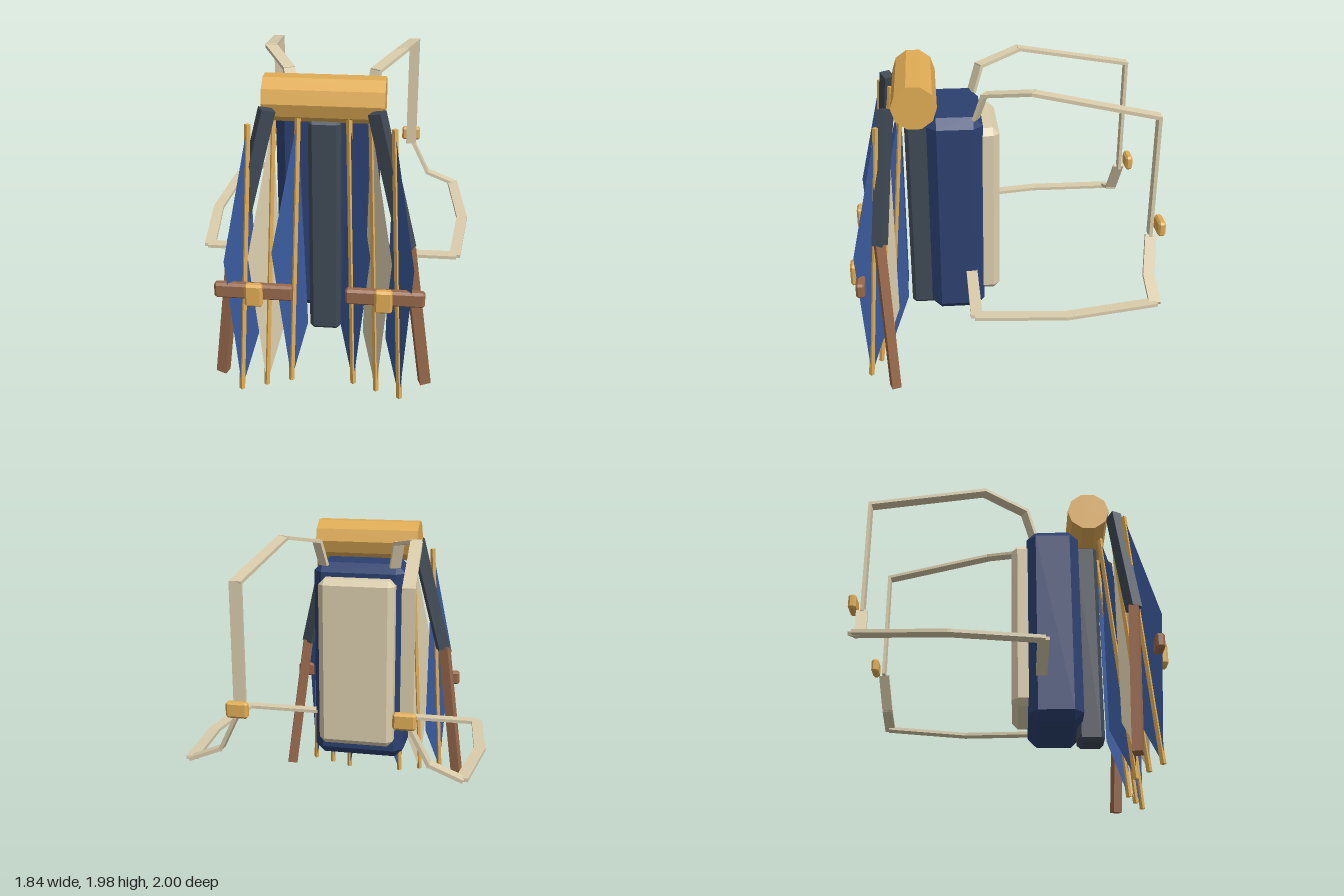
import * as THREE from 'three';
import { ConvexGeometry } from 'three/addons/geometries/ConvexGeometry.js';

const mat = (color, side = THREE.FrontSide) =>
  new THREE.MeshStandardMaterial({ color, side, flatShading: true });

const M = {
  navy: mat(0x2c4070),
  beige: mat(0xdacdac),
  slate: mat(0x3f4955),
  gold: mat(0xe0ac55),
  brown: mat(0x98694c),
  blueCloth: mat(0x3a5a9c, THREE.DoubleSide),
  beigeCloth: mat(0xdacdac, THREE.DoubleSide),
};

function add(parent, name, geometry, material) {
  const mesh = new THREE.Mesh(geometry, material);
  mesh.name = name;
  parent.add(mesh);
  return mesh;
}

// Box with every edge cut at 45 degrees, given by its size and centre
function chamferBox(parent, name, [w, h, d], c, [x, y, z], material) {
  const pts = [];
  for (const i of [-1, 1]) for (const j of [-1, 1]) for (const k of [-1, 1])
    for (let a = 0; a < 3; a++)
      pts.push(new THREE.Vector3(
        i * (w / 2 - (a === 0 ? 0 : c)),
        j * (h / 2 - (a === 1 ? 0 : c)),
        k * (d / 2 - (a === 2 ? 0 : c))));
  add(parent, name, new ConvexGeometry(pts), material).position.set(x, y, z);
}

// Straight bar from a to b; its width lies along the side direction
function bar(parent, name, a, b, w, t, side, material, extra = 0) {
  const dir = b.clone().sub(a);
  const len = dir.length() + extra;
  dir.normalize();
  const x = side.clone().addScaledVector(dir, -side.dot(dir)).normalize();
  const z = x.clone().cross(dir);
  const mesh = add(parent, name, new THREE.BoxGeometry(w, len, t), material);
  mesh.quaternion.setFromRotationMatrix(new THREE.Matrix4().makeBasis(x, dir, z));
  mesh.position.copy(a).add(b).multiplyScalar(0.5);
}

// Thin four-cornered cloth panel
function panel(parent, name, corners, material) {
  const g = new THREE.BufferGeometry().setFromPoints(corners);
  g.setIndex([0, 1, 2, 0, 2, 3]);
  g.computeVertexNormals();
  add(parent, name, g, material);
}

function buildWing(s) {
  const wing = new THREE.Group();
  wing.name = s > 0 ? 'leftWing' : 'rightWing';
  const P = (x, y, z) => new THREE.Vector3(s * x, y, z);

  // Folded arm
  bar(wing, 'upperArm', P(0.315, 1.83, 0.725), P(0.515, 1.01, 0.795), 0.085, 0.07, P(1, 0, 0.5), M.slate);
  bar(wing, 'lowerArm', P(0.525, 1.02, 0.795), P(0.655, 0.02, 0.745), 0.07, 0.06, P(1, 0, -0.3), M.brown);

  // Three ribs, each carrying a leaf-shaped panel
  for (let i = 0; i < 3; i++) {
    const top = P(0.15 + i * 0.135, 1.755, 0.64 + i * 0.07);
    const low = P(0.2 + i * 0.15, 0.005, 0.785 + i * 0.062);
    bar(wing, 'rib', top, low, 0.026, 0.026, P(1, 0, 1), M.gold);
    const outer = top.clone().lerp(low, 0.46).add(P(0.125 - i * 0.01, 0, 0.12));
    const inner = top.clone().lerp(low, 0.8).add(P(-0.085, 0, -0.11));
    panel(wing, 'wingPanel', [top, outer, low, inner], i === 1 ? M.beigeCloth : M.blueCloth);
  }

  // Crossbar and its clasp
  chamferBox(wing, 'crossbar', [0.475, 0.1, 0.056], 0.014, [s * 0.395, 0.745, 0.928], M.brown);
  chamferBox(wing, 'crossbarClasp', [0.108, 0.15, 0.05], 0.014, [s * 0.387, 0.745, 0.975], M.gold);
  return wing;
}

function buildStrap(s) {
  const strap = new THREE.Group();
  strap.name = s > 0 ? 'leftStrap' : 'rightStrap';
  const P = (x, y, z) => new THREE.Vector3(s * x, y, z);

  // Each entry: point, then the width direction of the segment that starts there
  const run = (name, list, w) => {
    for (let i = 0; i < list.length - 1; i++)
      bar(strap, name, P(...list[i][0]), P(...list[i + 1][0]), w, 0.022, P(...list[i][1]), M.beige, 0.018);
  };
  run('shoulderStrap', [
    [[0.245, 1.73, 0.17], [0.87, 0, 0.5]],
    [[0.275, 1.89, 0.12], [0.87, 0, 0.5]],
    [[0.43, 1.95, -0.155], [1, 0, 0.1]],
    [[0.498, 1.805, -0.91], [1, 0, 0]],
    [[0.498, 1.01, -0.91]],
  ], 0.075);
  run('lowerStrap', [
    [[0.52, 1.0, -0.912], [0, 0, 1]],
    [[0.63, 0.78, -0.89], [0, 0, 1]],
    [[0.825, 0.7, -0.89], [1, 0, -0.1]],
    [[0.885, 0.672, -0.33], [1, 0, 0.1]],
    [[0.825, 0.66, 0.215], [0, 0, 1]],
    [[0.28, 0.66, 0.215]],
  ], 0.072);
  chamferBox(strap, 'strapBuckle', [0.135, 0.1, 0.05], 0.014, [s * 0.495, 1.06, -0.973], M.gold);
  return strap;
}

export function createModel() {
  const model = new THREE.Group();
  model.name = 'wingPack';

  // Pack body
  chamferBox(model, 'packBody', [0.63, 1.38, 0.35], 0.06, [0, 1.05, 0.305], M.navy);
  chamferBox(model, 'backPad', [0.52, 1.17, 0.16], 0.04, [0, 1.065, 0.105], M.beige);
  chamferBox(model, 'spine', [0.195, 1.44, 0.175], 0.025, [0, 1.01, 0.533], M.slate);

  // Ten-sided roll on top, lying across
  const roll = add(model, 'topRoll', new THREE.CylinderGeometry(0.14, 0.14, 0.715, 10), M.gold);
  roll.rotation.z = Math.PI / 2;
  roll.position.set(0, 1.846, 0.55);

  for (const s of [1, -1]) model.add(buildWing(s), buildStrap(s));
  return model;
}
